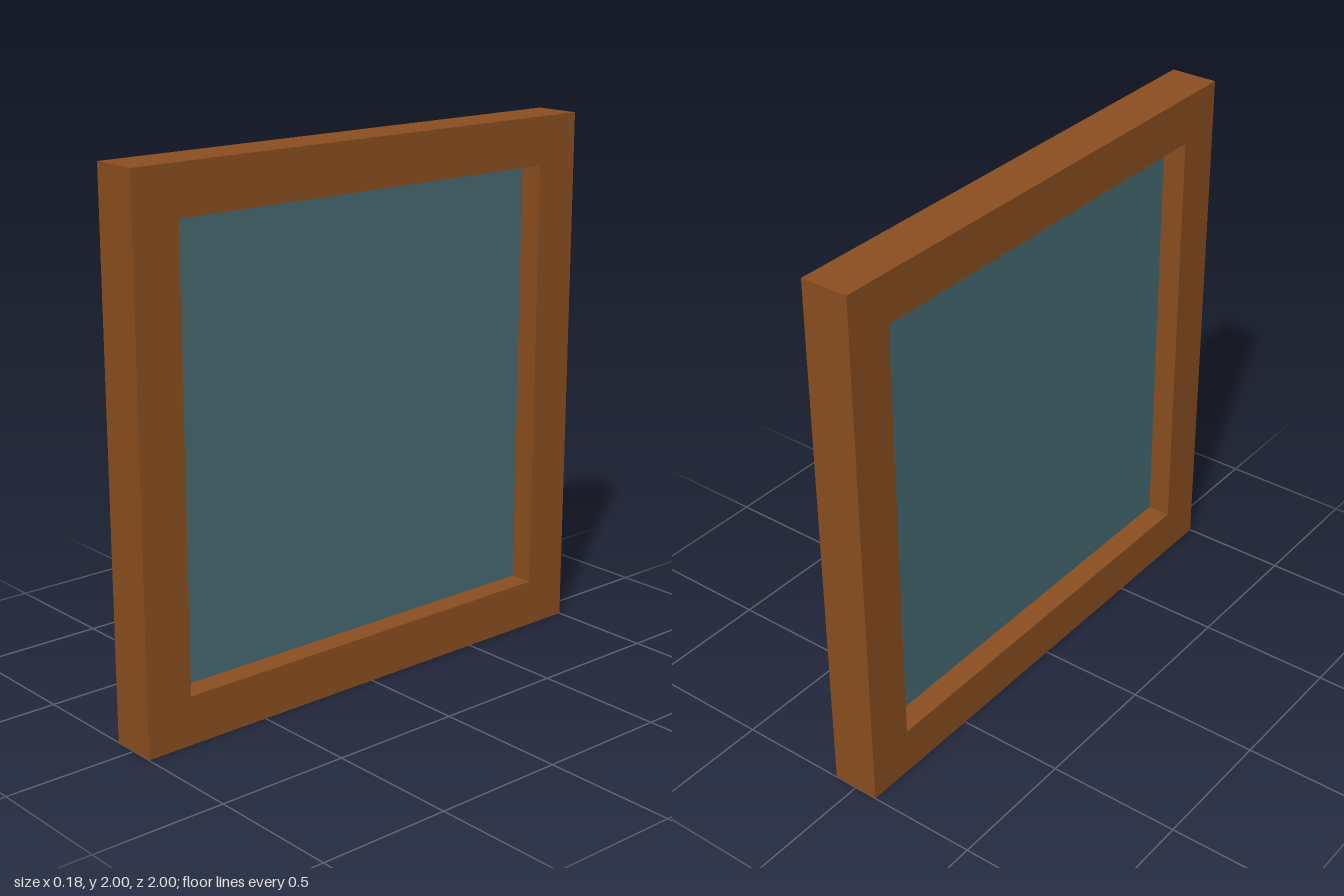
import * as THREE from 'three';

const SIZE = 2, BORDER = 0.18, DEPTH = 0.18;

// Square outline centred on the origin
function square(Type, side) {
  const h = side / 2;
  return new Type([[-h, -h], [h, -h], [h, h], [-h, h]].map(([x, y]) => new THREE.Vector2(x, y)));
}

export function createModel() {
  const model = new THREE.Group();
  model.name = 'window';
  const opening = SIZE - 2 * BORDER;

  // Wooden frame: square with a square hole, extruded through its depth
  const outline = square(THREE.Shape, SIZE);
  outline.holes.push(square(THREE.Path, opening));
  const frameGeometry = new THREE.ExtrudeGeometry(outline, { depth: DEPTH, bevelEnabled: false });
  frameGeometry.translate(0, 0, -DEPTH / 2);
  const frame = new THREE.Mesh(frameGeometry, new THREE.MeshStandardMaterial({ color: 0x8b4f1f }));
  frame.name = 'frame';

  // Thin pane midway through the frame
  const pane = new THREE.Mesh(
    new THREE.PlaneGeometry(opening, opening),
    new THREE.MeshStandardMaterial({ color: 0x476b73, side: THREE.DoubleSide })
  );
  pane.name = 'glassPane';

  // Stand it on the ground with the pane facing sideways
  for (const part of [frame, pane]) {
    part.rotation.y = Math.PI / 2;
    part.position.y = SIZE / 2;
    model.add(part);
  }
  return model;
}
